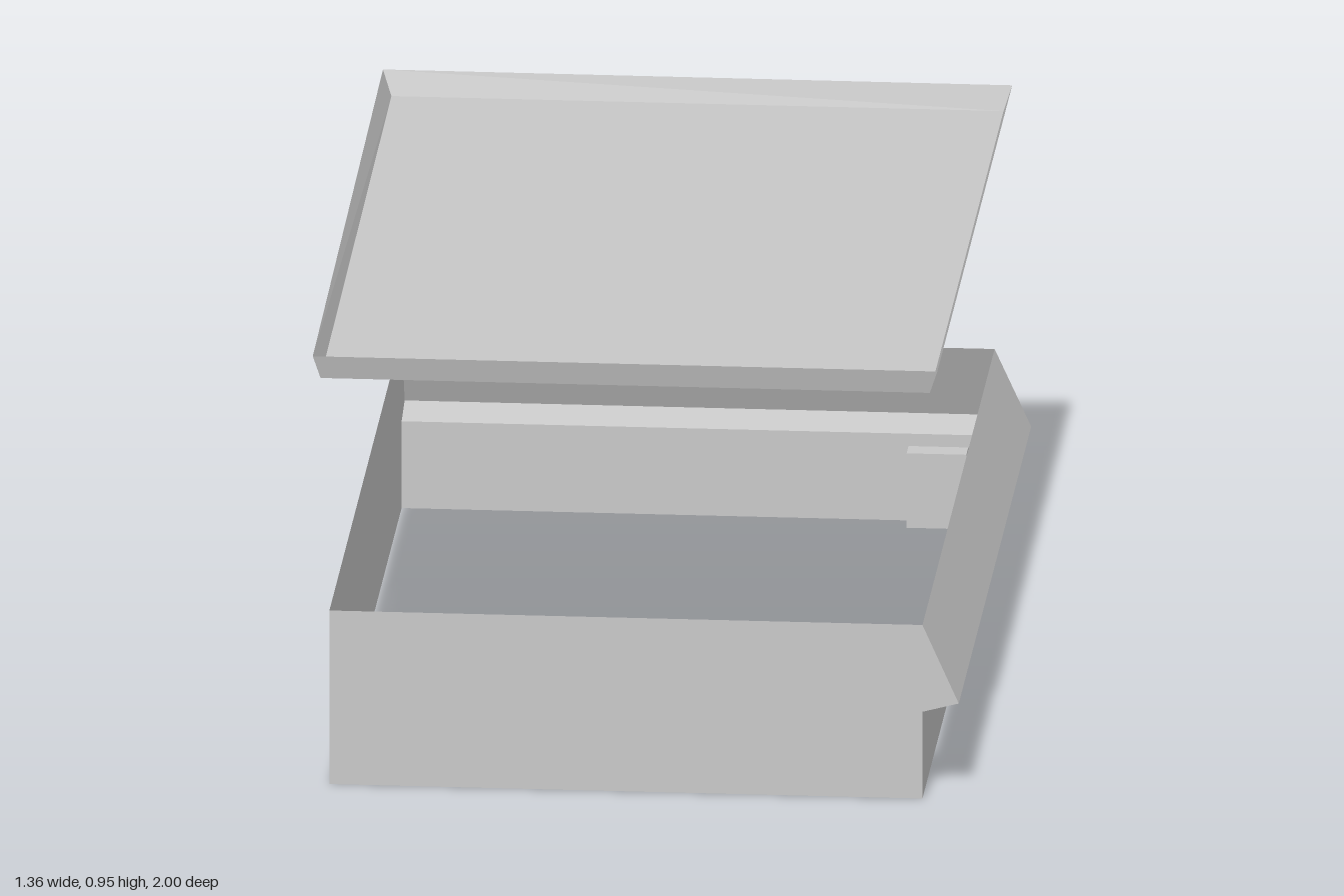
import * as THREE from 'three';

const grey = new THREE.MeshStandardMaterial({ color: 0xc8c8c8, side: THREE.DoubleSide });
grey.name = 'plain grey';

// Flat convex faces (corner lists, counter-clockwise from outside) joined into one mesh
function faceMesh(name, faces) {
  const pos = [];
  for (const f of faces) {
    for (let i = 1; i < f.length - 1; i++) pos.push(...f[0], ...f[i], ...f[i + 1]);
  }
  const geo = new THREE.BufferGeometry();
  geo.setAttribute('position', new THREE.Float32BufferAttribute(pos, 3));
  geo.computeVertexNormals();
  const mesh = new THREE.Mesh(geo, grey);
  mesh.name = name;
  return mesh;
}

// Main dimensions
const L = -0.64, R = 0.6, B = -0.92, F = 0.965;
const top = 0.38, eave = 0.19, lip = 0.21, outX = 0.676, outZ = -1.0;
const doorH = 0.163, depth = 0.05;

// Lower wall with door recesses. at(u, y, d) maps along, up and inward.
// Each door is [u0, u1, inner u0, inner u1].
function recessedWall(name, at, u0, u1, doors) {
  const group = new THREE.Group();
  group.name = name;
  const quad = (a, b, y0, y1) => [at(a, y0, 0), at(b, y0, 0), at(b, y1, 0), at(a, y1, 0)];
  const wall = [quad(u0, u1, doorH, eave)];
  let u = u0;
  for (const [a, b, ia, ib] of doors) {
    wall.push(quad(u, a, 0, doorH));
    u = b;
    group.add(faceMesh('doorRecess', [
      [at(ia, 0, depth), at(ib, 0, depth), at(ib, doorH, depth), at(ia, doorH, depth)],
      [at(a, 0, 0), at(ia, 0, depth), at(ia, doorH, depth), at(a, doorH, 0)],
      [at(ib, 0, depth), at(b, 0, 0), at(b, doorH, 0), at(ib, doorH, depth)],
      [at(a, 0, 0), at(b, 0, 0), at(ib, 0, depth), at(ia, 0, depth)],
      [at(ia, doorH, depth), at(ib, doorH, depth), at(b, doorH, 0), at(a, doorH, 0)],
    ]));
  }
  wall.push(quad(u, u1, 0, doorH));
  group.add(faceMesh('wallSheet', wall));
  return group;
}

export function createModel() {
  const model = new THREE.Group();
  model.name = 'building';

  // Plain walls, each including the end of the neighbouring canopy
  model.add(faceMesh('frontWall', [[
    [R, eave, F], [outX, lip, F], [R, top, F], [L, top, F], [L, 0, F], [R, 0, F],
  ]]));
  model.add(faceMesh('rightWall', [[
    [L, eave, B], [L, 0, B], [L, 0, F], [L, top, F], [L, top, B], [L, lip, outZ],
  ]]));

  // Walls with door recesses
  model.add(recessedWall('leftWall', (u, y, d) => [R - d, y, -u], -F, -B, [
    [0.1, 0.215, 0.1, 0.195],
    [0.365, 0.48, 0.39, 0.48],
  ]));
  model.add(recessedWall('backWall', (u, y, d) => [-u, y, B + d], -R, -L, [
    [-0.545, -0.42, -0.545, -0.42],
  ]));

  // Canopies: sloping sheet, soffit and the splayed end at the shared corner
  const ridge = [R, top, B], root = [R, eave, B];
  const sideTip = [outX, lip, B - 0.007], backTip = [R + 0.014, lip, outZ];
  model.add(faceMesh('sideCanopy', [
    [[R, top, F], [outX, lip, F], sideTip, ridge],
    [[R, eave, F], root, sideTip, [outX, lip, F]],
    [ridge, sideTip, root],
  ]));
  model.add(faceMesh('backCanopy', [
    [ridge, backTip, [L, lip, outZ], [L, top, B]],
    [root, [L, eave, B], [L, lip, outZ], backTip],
    [ridge, root, backTip],
  ]));

  // Raised roof tray with flared rim
  const low = 0.895, high = 0.947;
  const floor = [[-0.657, 0.985], [0.617, 0.985], [0.617, -0.94], [-0.663, -0.94]];
  const rim = [[-0.672, 1.0], [0.634, 1.0], [0.634, -0.955], [-0.682, -0.958]];
  const p = ([x, z], y) => [x, y, z];
  const tray = new THREE.Group();
  tray.name = 'roof';
  tray.add(faceMesh('roofFloor', [floor.map((c) => p(c, low))]));
  tray.add(faceMesh('roofRim', floor.map((c, i) => {
    const j = (i + 1) % 4;
    return [p(c, low), p(floor[j], low), p(rim[j], high), p(rim[i], high)];
  })));
  model.add(tray);

  return model;
}
